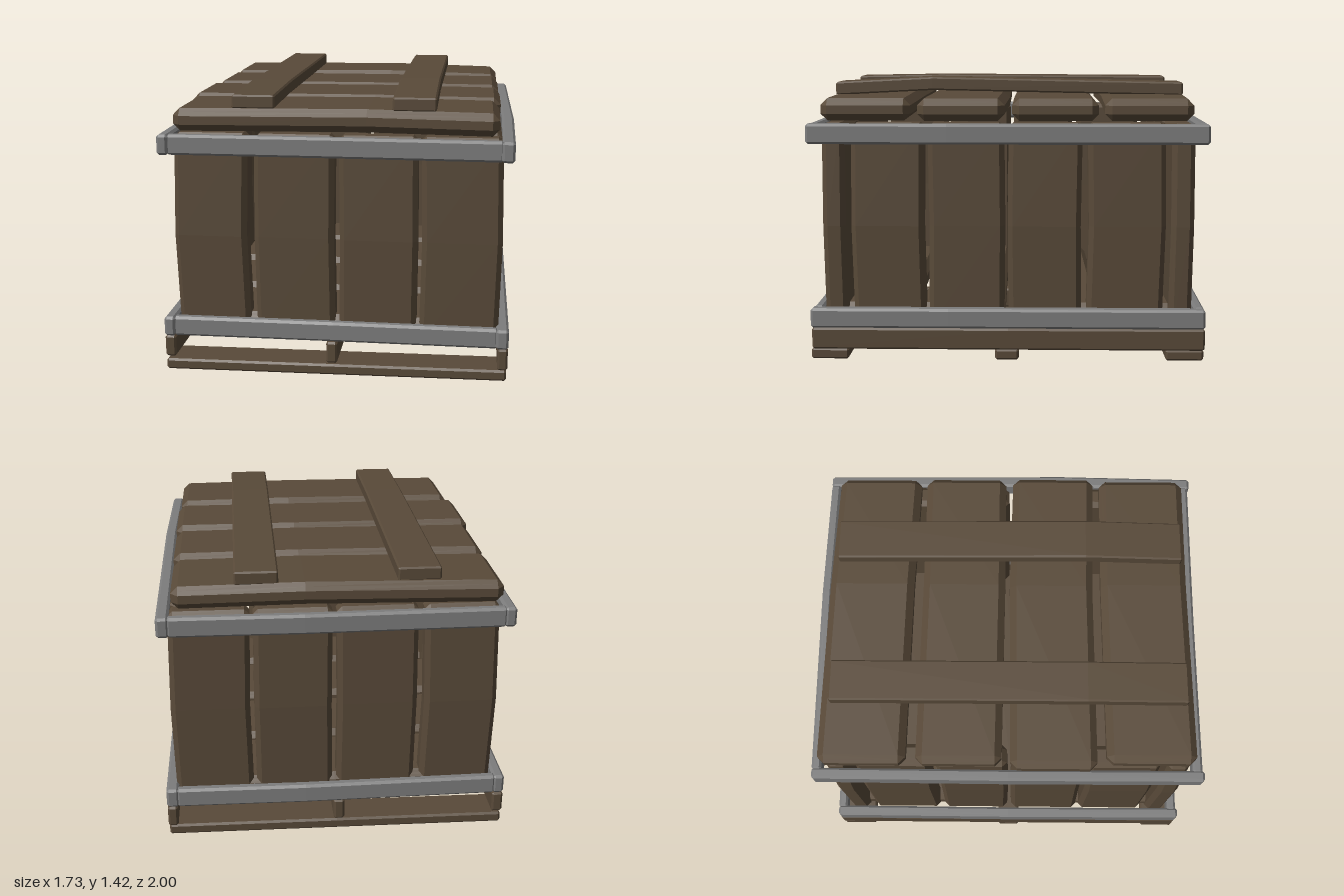
import * as THREE from 'three';

const wood = new THREE.MeshStandardMaterial({ color: 0x594a39, flatShading: true });
const metal = new THREE.MeshStandardMaterial({ color: 0x7d7d7d, flatShading: true });

// Chamfered beam between two corners. `along` is the length axis (0 x, 1 y, 2 z);
// `bow` shifts its middle (at fraction `mid` of the length), `tilt` lifts the far end.
function beam(name, min, max, along, { c = 0.02, bow = [0, 0, 0], mid = 0, tilt = [0, 0, 0], mat = wood } = {}) {
  const size = min.map((v, i) => max[i] - v);
  const half = size.map((v) => v / 2);
  const seg = [3, 3, 3];
  seg[along] = 4;
  const geo = new THREE.BoxGeometry(...size, ...seg);
  const pos = geo.attributes.position;
  for (let i = 0; i < pos.count; i++) {
    const p = [pos.getX(i), pos.getY(i), pos.getZ(i)];
    // grid step of each coordinate, 0 to seg
    const step = p.map((v, a) => Math.round((v / size[a] + 0.5) * seg[a]));
    const outer = step.map((s, a) => s === 0 || s === seg[a]);
    const count = outer.filter(Boolean).length;
    const inset = [0, 0, c / 2, (c * 2) / 3][count];
    const isMiddle = step[along] === 2;
    const q = p.map((v, a) => {
      if (a === along && isMiddle) return mid * size[a];
      return Math.sign(v) * (half[a] - (outer[a] ? inset : c));
    });
    const t = q[along] / size[along];
    pos.setXYZ(i, ...q.map((v, a) => v + (isMiddle ? bow[a] : 0) + tilt[a] * t));
  }
  geo.computeVertexNormals();
  const mesh = new THREE.Mesh(geo, mat);
  mesh.name = name;
  mesh.position.set(...min.map((v, i) => (v + max[i]) / 2));
  return mesh;
}

function group(name, parts) {
  const g = new THREE.Group();
  g.name = name;
  g.add(...parts);
  return g;
}

export function createModel() {
  const model = new THREE.Group();
  model.name = 'woodenCrate';

  // Pallet: three cross slats below three runners
  const slats = [[0.81, 1.0], [-0.05, 0.07], [-0.98, -0.79]].map(([a, b]) =>
    beam('palletSlat', [-0.86, 0.01, a], [0.845, 0.065, b], 0, { c: 0.01, tilt: [0, 0.015, 0] }));
  const runners = [[-0.865, -0.81], [-0.045, 0.01], [0.8, 0.85]].map(([a, b]) =>
    beam('palletRunner', [a, 0.07, -0.985], [b, 0.18, 0.995], 2, { c: 0.01 }));
  model.add(group('pallet', [...slats, ...runners]));

  // Floor boards, with gaps in line with the lid
  const floorSpans = [[0.5, 0.92], [0.02, 0.45], [-0.45, -0.03], [-0.92, -0.5]];
  model.add(group('floor', floorSpans.map(([a, b], i) =>
    beam('floorBoard', [-0.77, 0.18, a], [0.77, 0.29, b], 0, { c: 0.03, bow: [0, 0, i % 2 ? 0.008 : -0.008] }))));

  // Front and back walls
  const wallX = [[-0.8, -0.435, -0.012], [-0.405, -0.008, -0.006], [0.012, 0.395, 0.004], [0.41, 0.8, 0.01]];
  for (const s of [1, -1]) {
    model.add(group(s > 0 ? 'frontWall' : 'backWall', wallX.map(([a, b, bow], i) =>
      beam('wallPlank', [a, 0.18, s > 0 ? 0.815 : -0.92], [b, 1.21, s > 0 ? 0.93 : -0.805], 1,
        { c: 0.025, bow: [bow, 0, s * (i % 2 ? 0.004 : 0.01)] }))));
  }

  // Left and right walls
  const wallZ = [[0.42, 0.785, 0.008], [0.025, 0.405, -0.005], [-0.365, 0.002, 0.006], [-0.775, -0.39, -0.01]];
  for (const s of [1, -1]) {
    model.add(group(s > 0 ? 'leftWall' : 'rightWall', wallZ.map(([a, b, bow], i) =>
      beam('wallPlank', [s > 0 ? 0.68 : -0.795, 0.18, a], [s > 0 ? 0.795 : -0.68, 1.21, b], 1,
        { c: 0.025, bow: [s * (i % 2 ? 0.003 : 0.01), 0, bow] }))));
  }

  // Metal bands round the bottom and top
  for (const [name, y0, y1, out] of [['bottomBand', 0.18, 0.28, 0], ['topBand', 1.11, 1.21, 0.012]]) {
    const bar = { c: 0.012, mat: metal };
    model.add(group(name, [
      beam('frontBar', [-0.82, y0, 0.94], [0.8, y1, 0.99], 0, { ...bar, bow: [0, 0, -0.004] }),
      beam('backBar', [-0.82, y0, -0.985], [0.8, y1, -0.935], 0, { ...bar, bow: [0, 0, -0.01], mid: 0.1 }),
      beam('leftBar', [0.79, y0, -0.985], [0.852, y1, 1.0], 2, { ...bar, bow: [out, 0, 0], mid: 0.15 }),
      beam('rightBar', [-0.866, y0, -0.985], [-0.81, y1, 1.0], 2, { ...bar, bow: [-0.004, 0, 0] }),
    ]));
  }

  // Lid boards: z from, z to, x from, x to, bow in y and z, tilt in z
  const lid = [
    [0.495, 0.945, -0.8, 0.78, 0.008, -0.008, -0.01],
    [0.02, 0.455, -0.83, 0.79, 0.004, -0.012, 0.005],
    [-0.45, -0.02, -0.81, 0.785, 0.004, 0.004, 0.01],
    [-0.93, -0.49, -0.81, 0.78, 0.012, -0.006, 0.03],
  ].map(([z0, z1, x0, x1, by, bz, tz]) =>
    beam('lidBoard', [x0, 1.218, z0], [x1, 1.33, z1], 0, { c: 0.035, bow: [0, by, bz], mid: 0.1, tilt: [0, 0, tz] }));

  // Two battens across the lid
  const battens = [[-0.51, -0.3, 0], [0.27, 0.48, 0.018]].map(([a, b, bow]) =>
    beam('lidBatten', [a, 1.33, -0.895], [b, 1.397, 0.91], 2, { c: 0.008, bow: [0, bow + 0.008, 0], mid: 0.22 }));
  model.add(group('lid', [...lid, ...battens]));

  return model;
}
